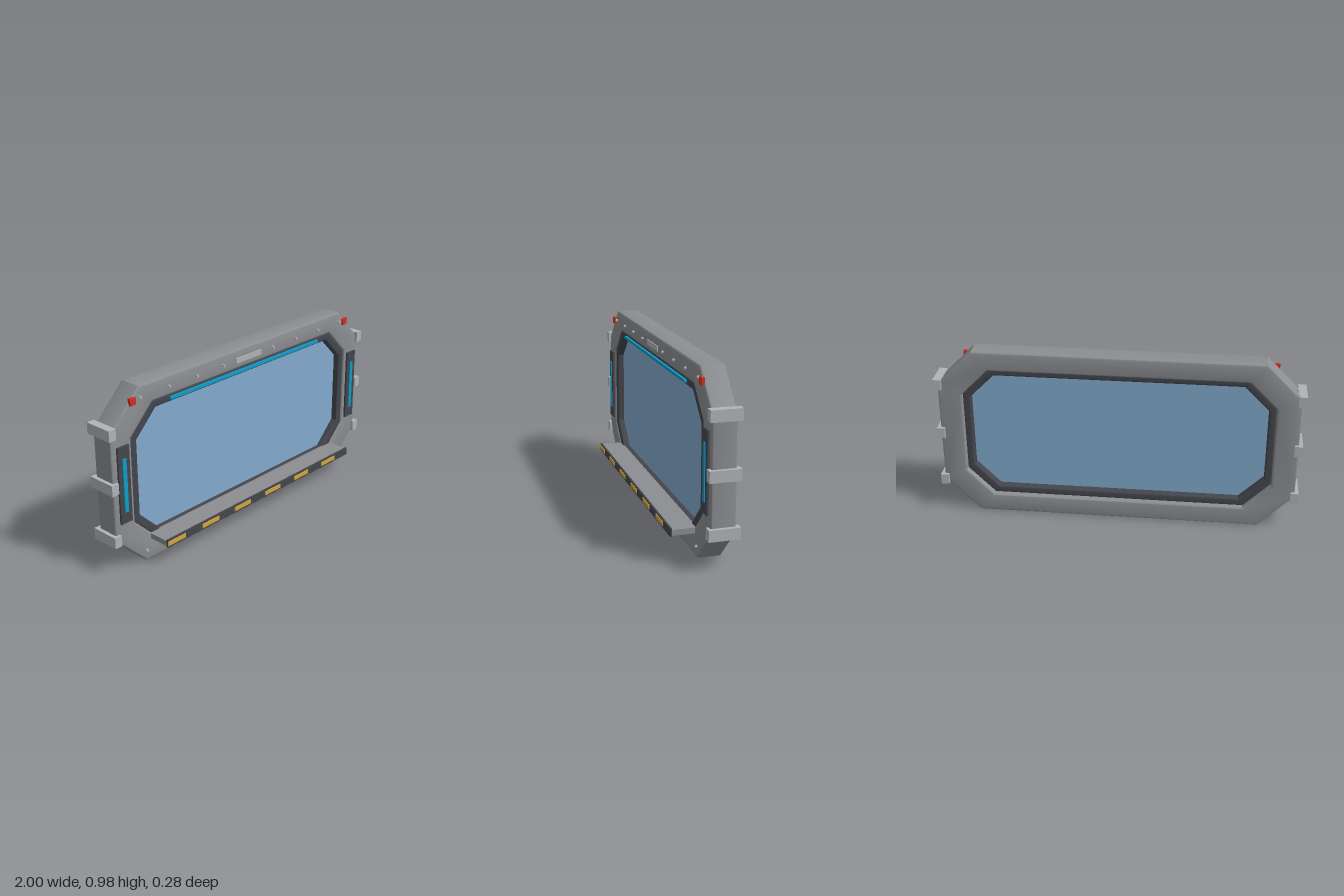
import * as THREE from 'three';
import { toCreasedNormals } from 'three/addons/utils/BufferGeometryUtils.js';

const material = (name, color) => {
  const m = new THREE.MeshStandardMaterial({ color });
  m.name = name;
  return m;
};

// Rectangle with cut corners, centred on the window's middle height
const MID_Y = 0.49;
function octagon(Type, halfW, halfH, cut) {
  const pts = [
    [halfW - cut, -halfH], [halfW, -halfH + cut], [halfW, halfH - cut], [halfW - cut, halfH],
    [-halfW + cut, halfH], [-halfW, halfH - cut], [-halfW, -halfH + cut], [-halfW + cut, -halfH],
  ].map(([x, y]) => new THREE.Vector2(x, y + MID_Y));
  return new Type(pts);
}

// Octagonal ring or pane between two z values, with a softened rim
function octagonSlab(outer, inner, zBack, zFront, bevel) {
  const shape = octagon(THREE.Shape, ...outer);
  if (inner) shape.holes.push(octagon(THREE.Path, ...inner));
  const geometry = new THREE.ExtrudeGeometry(shape, {
    depth: zFront - zBack - 2 * bevel,
    bevelEnabled: bevel > 0,
    bevelThickness: bevel,
    bevelSize: bevel,
    bevelOffset: -bevel,
    bevelSegments: 3,
  });
  geometry.translate(0, 0, zBack + bevel);
  return toCreasedNormals(geometry, 0.6);
}

export function createModel() {
  const model = new THREE.Group();
  model.name = 'window';

  const hull = material('hullGrey', 0x8b8e92);
  const light = material('lightMetal', 0xb0b4b7);
  const dark = material('darkTrim', 0x45464d);
  const pane = material('glassBlue', 0x82aace);
  const glow = material('cyanGlow', 0x0f9cc8);
  const red = material('beaconRed', 0xd2311f);
  const yellow = material('hazardYellow', 0xd4a73a);

  const add = (name, geometry, mat) => {
    const mesh = new THREE.Mesh(geometry, mat);
    mesh.name = name;
    model.add(mesh);
    return mesh;
  };
  // Box given by its extents along each axis
  const box = (name, mat, [x0, x1], [y0, y1], [z0, z1]) => {
    const mesh = add(name, new THREE.BoxGeometry(x1 - x0, y1 - y0, z1 - z0), mat);
    mesh.position.set((x0 + x1) / 2, (y0 + y1) / 2, (z0 + z1) / 2);
    return mesh;
  };

  // Frame, inner trim and glass
  add('frame', octagonSlab([0.98, 0.49, 0.195], [0.85, 0.385, 0.15], -0.122, 0.007, 0.01), hull);
  add('innerTrim', octagonSlab([0.852, 0.387, 0.15], [0.81, 0.345, 0.135], -0.09, 0.002, 0.008), dark);
  add('glass', octagonSlab([0.825, 0.36, 0.14], null, -0.048, -0.036, 0), pane);

  // Side fittings, mirrored
  for (const [label, s] of [['left', 1], ['right', -1]]) {
    const span = (a, b) => (s > 0 ? [a, b] : [-b, -a]);
    box(label + 'Panel', dark, span(0.875, 0.949), [0.283, 0.705], [0, 0.018]);
    box(label + 'PanelLight', glow, span(0.9, 0.924), [0.345, 0.64], [0.015, 0.023]);
    box(label + 'Beacon', red, span(0.817, 0.853), [0.897, 0.935], [0, 0.018]);
    for (const y of [0.198, 0.492, 0.786]) {
      box(label + 'Bracket', light, span(0.956, 1), [y - 0.03, y + 0.03], [-0.14, 0.022]);
    }
    // Rivets along the top and bottom rails
    for (let i = 1; i <= 4; i++) {
      for (const y of [0.062, 0.923]) {
        const rivet = add(label + 'Rivet', new THREE.CylinderGeometry(0.008, 0.008, 0.016, 8), light);
        rivet.rotation.x = Math.PI / 2;
        rivet.position.set(s * i * 0.196, y, 0.01);
      }
    }
  }

  // Top rail light and plate
  box('topLight', glow, [-0.585, 0.585], [0.849, 0.864], [0, 0.016]);
  box('topPlate', light, [-0.1, 0.1], [0.906, 0.936], [0, 0.012]);

  // Sill with dark lip and hazard marks
  box('sill', hull, [-0.75, 0.75], [0.117, 0.148], [-0.005, 0.126]);
  box('sillLip', dark, [-0.75, 0.75], [0.111, 0.155], [0.125, 0.135]);
  for (let i = 0; i < 6; i++) {
    const x = -0.687 + i * 0.25;
    box('hazardMark', yellow, [x - 0.063, x + 0.063], [0.122, 0.146], [0.131, 0.139]);
  }

  return model;
}
